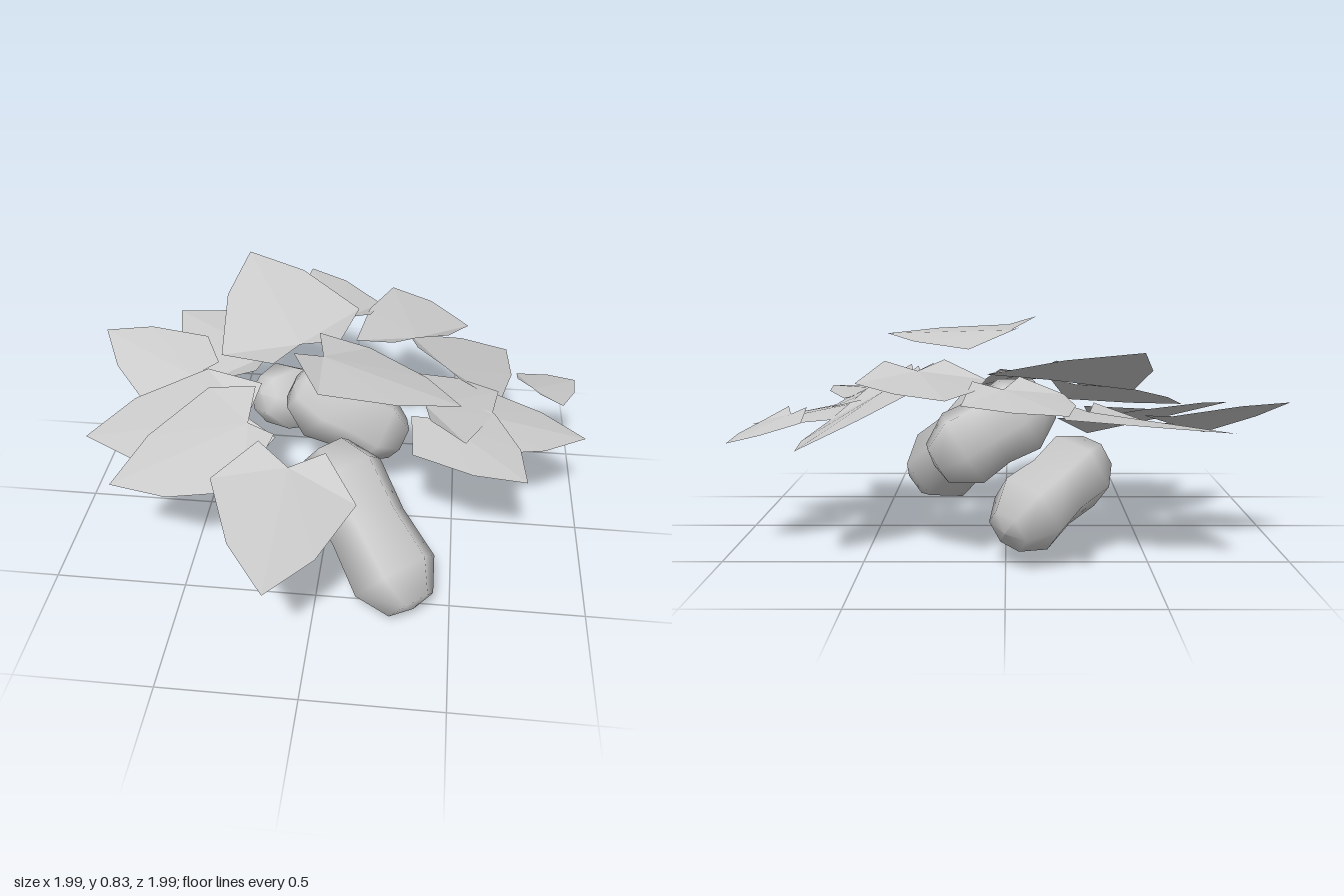
import * as THREE from 'three';

const grey = new THREE.MeshStandardMaterial({ color: 0xcccccc });
const leafGrey = new THREE.MeshStandardMaterial({ color: 0xcccccc, side: THREE.DoubleSide });

// Half outline of a heart-shaped leaf: u from notch to tip, v across (1 = widest), lift of the curled base
const HALF = [[0, 0, 0.05], [-0.13, 0.47, 0.11], [0.17, 1, 0], [0.67, 0.57, 0], [1, 0, 0]];

// Leaf laid through its tip and its two widest corners, curling up towards the notch
function makeLeaf(tip, wideA, wideB) {
  const T = new THREE.Vector3(...tip);
  const A = new THREE.Vector3(...wideA);
  const B = new THREE.Vector3(...wideB);
  const middle = A.clone().add(B).multiplyScalar(0.5);
  const along = T.clone().sub(middle).divideScalar(0.83);
  const across = A.clone().sub(middle);
  const notch = T.clone().sub(along);
  const up = along.clone().cross(across).normalize().multiplyScalar(along.length());
  if (up.y < 0) up.negate();
  const positions = [];
  for (const side of [1, -1]) {
    const pts = HALF.map(([u, v, lift]) => notch.clone()
      .addScaledVector(along, u).addScaledVector(across, v * side).addScaledVector(up, lift));
    for (let i = 1; i < pts.length - 1; i++) {
      const tri = [pts[0], pts[i], pts[i + 1]];
      const n = tri[1].clone().sub(tri[0]).cross(tri[2].clone().sub(tri[0]));
      if (n.y < 0) tri.reverse();
      tri.forEach(p => positions.push(p.x, p.y, p.z));
    }
  }
  const geo = new THREE.BufferGeometry();
  geo.setAttribute('position', new THREE.Float32BufferAttribute(positions, 3));
  geo.computeVertexNormals();
  return new THREE.Mesh(geo, leafGrey);
}

// Faceted pod with a slight waist, running between the centres of its two lobes
function makePod(from, to, r) {
  const a = new THREE.Vector3(...from);
  const dir = new THREE.Vector3(...to).sub(a);
  const len = dir.length();
  const profile = [
    [0, -0.8 * r], [0.56 * r, -0.7 * r], [r, 0], [0.9 * r, len * 0.5],
    [r, len], [0.56 * r, len + 0.7 * r], [0, len + 0.8 * r],
  ].map(([x, y]) => new THREE.Vector2(x, y));
  const pod = new THREE.Mesh(new THREE.LatheGeometry(profile, 6), grey);
  pod.position.copy(a);
  pod.quaternion.setFromUnitVectors(new THREE.Vector3(0, 1, 0), dir.normalize());
  return pod;
}

export function createModel() {
  const model = new THREE.Group();
  const add = (mesh, name) => { mesh.name = name; model.add(mesh); };

  // Pods
  add(makePod([0.295, 0.145, 0.51], [0.07, 0.38, 0.25], 0.17), 'frontPod');
  add(makePod([-0.05, 0.475, -0.12], [0.165, 0.345, -0.14], 0.16), 'middlePod');
  add(makePod([-0.075, 0.19, -0.55], [-0.25, 0.305, -0.38], 0.15), 'backPod');

  // Leaves: tip, then the two widest corners
  const leaves = {
    frontLeaf: [[-0.11, 0.47, 0.99], [-0.36, 0.565, 0.54], [0.15, 0.49, 0.54]],
    topLeaf: [[0.49, 0.75, 0.275], [-0.01, 0.785, 0.31], [0.14, 0.72, -0.13]],
    largeBackLeaf: [[-0.44, 0.77, -0.8], [0.065, 0.67, -0.52], [-0.47, 0.58, -0.24]],
    backLeaf: [[-0.19, 0.6, -1], [0.145, 0.59, -0.72], [-0.2, 0.6, -0.5]],
    backLeftLeaf: [[0.19, 0.62, -0.82], [0.52, 0.635, -0.49], [0.07, 0.63, -0.33]],
    leftBackLeaf: [[0.7, 0.43, -0.66], [0.66, 0.46, -0.2], [0.28, 0.62, -0.42]],
    smallLeftLeaf: [[0.98, 0.42, -0.46], [0.73, 0.48, -0.39], [0.91, 0.46, -0.2]],
    leftLeaf: [[0.99, 0.42, -0.04], [0.57, 0.48, -0.27], [0.57, 0.49, 0.2]],
    innerLeftLeaf: [[0.65, 0.51, -0.2], [0.3, 0.6, -0.16], [0.52, 0.55, 0.22]],
    leftFrontLeaf: [[0.74, 0.52, 0.39], [0.63, 0.52, -0.03], [0.33, 0.52, 0.27]],
    rightBackLeaf: [[-1, 0.56, -0.42], [-0.58, 0.52, -0.48], [-0.76, 0.4, -0.1]],
    backRightLeaf: [[-0.75, 0.5, -0.72], [-0.2, 0.53, -0.63], [-0.55, 0.45, -0.22]],
    rightLeaf: [[-0.91, 0.47, 0.22], [-0.53, 0.51, -0.24], [-0.34, 0.33, 0.28]],
    rightFrontLeaf: [[-0.76, 0.43, 0.45], [-0.48, 0.56, -0.03], [-0.26, 0.45, 0.46]],
  };
  for (const [name, corners] of Object.entries(leaves)) add(makeLeaf(...corners), name);

  return model;
}
